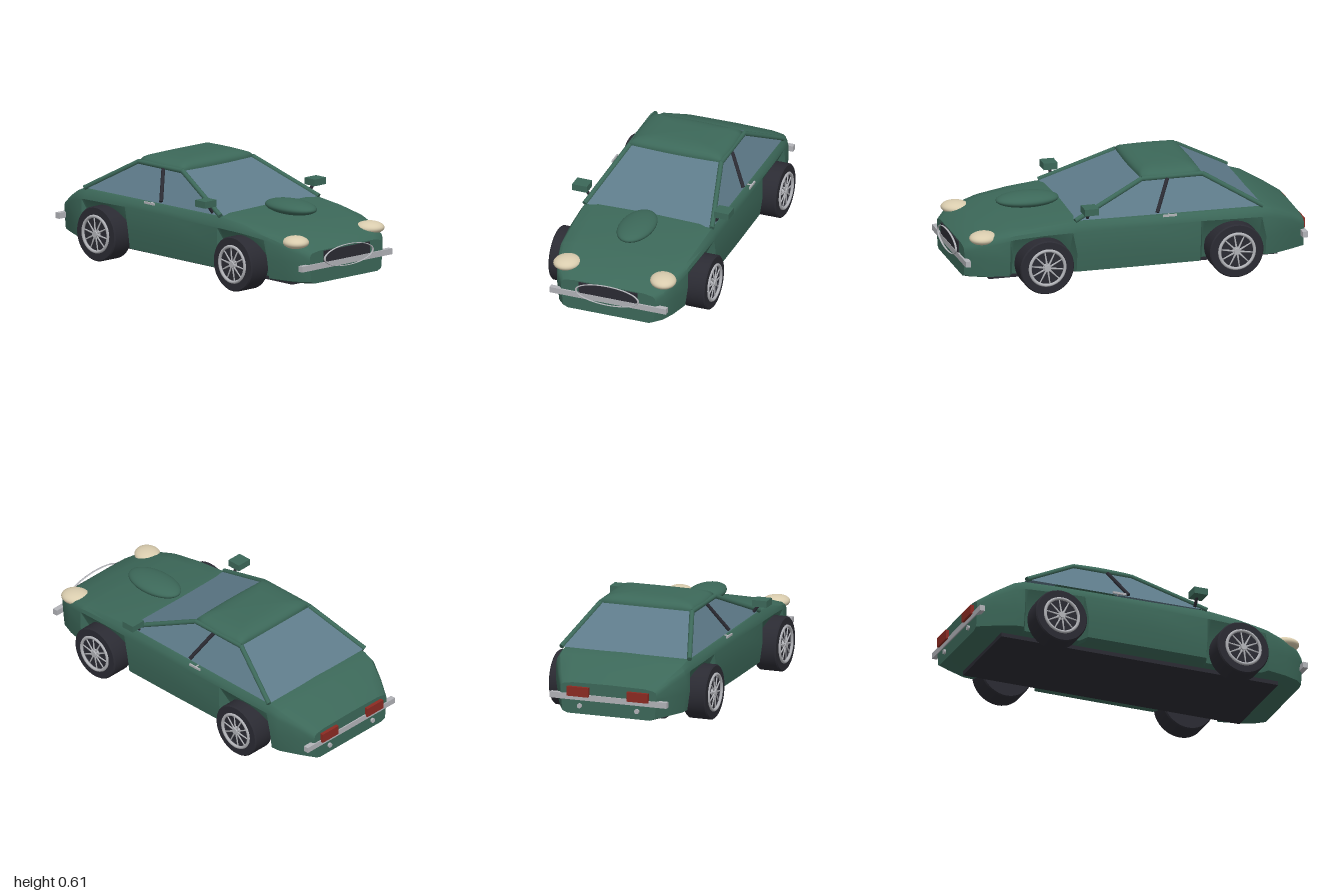
import * as THREE from 'three';
import { toCreasedNormals } from 'three/addons/utils/BufferGeometryUtils.js';

const mat = (name, color, side = THREE.FrontSide) => {
  const m = new THREE.MeshStandardMaterial({ color, side });
  m.name = name;
  return m;
};

// Skin through closed rings of [x, y], ordered front to back, with capped ends
function loft(rings) {
  const n = rings[0].pts.length, pos = [], idx = [];
  for (const r of rings) for (const [x, y] of r.pts) pos.push(x, y, r.z);
  for (let s = 0; s < rings.length - 1; s++) {
    for (let i = 0; i < n; i++) {
      const a = s * n + i, b = s * n + (i + 1) % n, c = a + n, d = b + n;
      idx.push(a, c, b, b, c, d);
    }
  }
  for (const [s, front] of [[0, true], [rings.length - 1, false]]) {
    const r = rings[s], centre = pos.length / 3;
    pos.push(0, (r.pts[0][1] + r.top) / 2, r.z);
    for (let i = 0; i < n; i++) {
      const a = s * n + i, b = s * n + (i + 1) % n;
      idx.push(centre, front ? a : b, front ? b : a);
    }
  }
  const g = new THREE.BufferGeometry();
  g.setAttribute('position', new THREE.Float32BufferAttribute(pos, 3));
  g.setIndex(idx);
  return toCreasedNormals(g, 0.6);
}

export function createModel() {
  const car = new THREE.Group();
  car.name = 'car';
  const green = mat('green paint', 0x3c6859);
  const glass = mat('glass', 0x5e7b8a, THREE.DoubleSide);
  const dark = mat('dark rubber', 0x2b2b33);
  const silver = mat('silver', 0xb2b3b8);
  const cream = mat('headlight cream', 0xd9ccae);
  const red = mat('tail light red', 0x8c2a22);

  const add = (name, geo, material, x = 0, y = 0, z = 0, parent = car) => {
    const m = new THREE.Mesh(geo, material);
    m.name = name;
    m.position.set(x, y, z);
    parent.add(m);
    return m;
  };
  const box = (name, m, w, h, d, x, y, z) => add(name, new THREE.BoxGeometry(w, h, d), m, x, y, z);
  const rod = (name, m, a, b, r, parent = car) => {
    const p = new THREE.Vector3(...a), q = new THREE.Vector3(...b);
    const mesh = add(name, new THREE.CylinderGeometry(r, r, p.distanceTo(q), 10), m, 0, 0, 0, parent);
    mesh.position.copy(p).lerp(q, 0.5);
    mesh.quaternion.setFromUnitVectors(new THREE.Vector3(0, 1, 0), q.sub(p).normalize());
    return mesh;
  };
  const ellipsoid = (name, m, rx, ry, rz, x, y, z) => {
    const mesh = add(name, new THREE.SphereGeometry(1, 32, 20), m, x, y, z);
    mesh.scale.set(rx, ry, rz);
    return mesh;
  };

  // Body shell: [z, half width, top, shoulder, tucked beside the wheel]
  const stations = [
    [0.972, 0.28, 0.262, 0.22, 0], [0.93, 0.32, 0.29, 0.245, 0], [0.85, 0.353, 0.318, 0.27, 0],
    [0.735, 0.38, 0.347, 0.3, 0], [0.71, 0.383, 0.352, 0.305, 1], [0.545, 0.395, 0.376, 0.318, 1],
    [0.38, 0.4, 0.392, 0.322, 1], [0.355, 0.4, 0.393, 0.322, 0], [0, 0.402, 0.385, 0.325, 0],
    [-0.355, 0.4, 0.383, 0.325, 0], [-0.38, 0.4, 0.383, 0.325, 1], [-0.545, 0.397, 0.382, 0.32, 1],
    [-0.71, 0.39, 0.38, 0.315, 1], [-0.735, 0.389, 0.378, 0.312, 0], [-0.79, 0.383, 0.362, 0.3, 0],
    [-0.9, 0.33, 0.306, 0.26, 0], [-0.98, 0.285, 0.258, 0.22, 0],
  ];
  add('body', loft(stations.map(([z, w, top, sh, tuck]) => {
    const low = tuck ? 0.335 : w;
    const half = [[low * 0.86, 0.078], [low * 0.96, 0.09], [low, 0.2], [w, sh],
      [w * 0.985, sh + (top - sh) * 0.45], [w * 0.94, top - 0.012], [w * 0.75, top - 0.003]];
    const mirrored = half.map(([x, y]) => [-x, y]).reverse();
    return { z, top, pts: [[0, 0.078], ...half, [0, top], ...mirrored] };
  })), green);
  box('floorPan', dark, 0.555, 0.03, 1.66, 0, 0.07, 0);

  // Cabin glass between four lower and four upper corners
  const corner = (s, k) => [[s * 0.378, 0.385, 0.362], [s * 0.272, 0.56, -0.05],
    [s * 0.272, 0.56, -0.4], [s * 0.38, 0.378, -0.72]][k];
  const pane = (name, a, b, c, d) => {
    const g = new THREE.BufferGeometry();
    g.setAttribute('position', new THREE.Float32BufferAttribute([a, b, c, a, c, d].flat(), 3));
    g.computeVertexNormals();
    add(name, g, glass);
  };
  pane('windshield', corner(-1, 0), corner(1, 0), corner(1, 1), corner(-1, 1));
  pane('rearWindow', corner(1, 3), corner(-1, 3), corner(-1, 2), corner(1, 2));
  pane('leftWindows', corner(1, 0), corner(1, 3), corner(1, 2), corner(1, 1));
  pane('rightWindows', corner(-1, 3), corner(-1, 0), corner(-1, 1), corner(-1, 2));

  // Roof: a flattened dome with a rounded rectangular plan
  const roofGeo = new THREE.SphereGeometry(1, 48, 28);
  const p = roofGeo.attributes.position;
  const soft = (v, e) => Math.sign(v) * Math.abs(v) ** e;
  for (let i = 0; i < p.count; i++) {
    const x = p.getX(i), y = p.getY(i), z = p.getZ(i), r = Math.hypot(x, z) || 1;
    const k = soft(r, 0.6) / r;
    const plan = Math.max(Math.abs(x), Math.abs(z)) / r || 1;
    const square = 1 / Math.pow(plan, 0.9);
    p.setXYZ(i, x * k * square * 0.28, soft(y, 0.75) * (y > 0 ? 0.056 : 0.012), z * k * square * 0.178);
  }
  roofGeo.computeVertexNormals();
  add('roof', roofGeo, green, 0, 0.556, -0.222);

  for (const s of [1, -1]) {
    const side = s > 0 ? 'left' : 'right';
    // Pillars and roof rail
    rod(side + 'FrontPillar', green, corner(s, 0), corner(s, 1), 0.014);
    rod(side + 'RearPillar', green, corner(s, 2), corner(s, 3), 0.014);
    rod(side + 'RoofRail', green, corner(s, 1), corner(s, 2), 0.014);
    rod(side + 'CentrePillar', dark, [s * 0.38, 0.392, -0.11], [s * 0.281, 0.552, -0.195], 0.011);
    // Mirror and handle
    box(side + 'Mirror', green, 0.088, 0.038, 0.08, s * 0.421, 0.454, 0.29);
    rod(side + 'MirrorArm', dark, [s * 0.372, 0.395, 0.29], [s * 0.405, 0.44, 0.29], 0.009);
    box(side + 'DoorHandle', silver, 0.008, 0.012, 0.08, s * 0.408, 0.378, -0.175);
    rod(side + 'HandleMount', silver, [s * 0.38, 0.378, -0.175], [s * 0.408, 0.378, -0.175], 0.004);
    // Lamps and exhaust
    const lamp = ellipsoid(side + 'Headlight', cream, 0.073, 0.036, 0.082, s * 0.285, 0.302, 0.865);
    lamp.rotation.y = s * 0.5;
    box(side + 'TailLight', red, 0.126, 0.054, 0.03, s * 0.177, 0.207, -0.985);
    rod(side + 'Exhaust', silver, [s * 0.17, 0.125, -0.94], [s * 0.17, 0.125, -0.992], 0.014);
  }

  // Hood bulge, grille and bumpers
  ellipsoid('hoodBulge', green, 0.1, 0.041, 0.18, 0, 0.41, 0.532);
  box('grille', dark, 0.35, 0.08, 0.03, 0, 0.214, 0.965);
  const ring = add('grilleSurround', new THREE.TorusGeometry(0.185, 0.006, 8, 64), silver, 0, 0.212, 0.993);
  ring.scale.set(1, 0.32, 1);
  box('frontBumper', silver, 0.692, 0.033, 0.03, 0, 0.174, 0.967);
  box('rearBumper', silver, 0.692, 0.033, 0.03, 0, 0.174, -0.972);

  // Wheels: turned tyre, recessed dish, rim ring, hub and wire spokes
  const tyreProfile = [[0.1, -0.067], [0.148, -0.067], [0.154, -0.06], [0.154, 0.06],
    [0.148, 0.067], [0.108, 0.067], [0.1, 0.05], [0, 0.05]].map(([r, y]) => new THREE.Vector2(r, y));
  const tyreGeo = toCreasedNormals(new THREE.LatheGeometry([new THREE.Vector2(0, -0.067), ...tyreProfile], 48), 0.5);
  for (const s of [1, -1]) for (const z of [0.545, -0.545]) {
    const wheel = new THREE.Group();
    wheel.name = (z > 0 ? 'front' : 'rear') + (s > 0 ? 'Left' : 'Right') + 'Wheel';
    wheel.position.set(s * 0.397, 0.154, z);
    wheel.rotation.z = -s * Math.PI / 2;
    car.add(wheel);
    add('tyre', tyreGeo, dark, 0, 0, 0, wheel);
    const rim = add('rim', new THREE.TorusGeometry(0.1, 0.009, 8, 48), silver, 0, 0.068, 0, wheel);
    rim.rotation.x = Math.PI / 2;
    add('hub', new THREE.CylinderGeometry(0.018, 0.022, 0.026, 16), silver, 0, 0.064, 0, wheel);
    for (let i = 0; i < 20; i++) {
      const a = i * Math.PI / 10, b = a + (i % 2 ? 0.16 : -0.16);
      rod('spoke', silver, [0.015 * Math.cos(a), 0.068, 0.015 * Math.sin(a)],
        [0.1 * Math.cos(b), 0.064, 0.1 * Math.sin(b)], 0.0035, wheel);
    }
  }
  return car;
}
